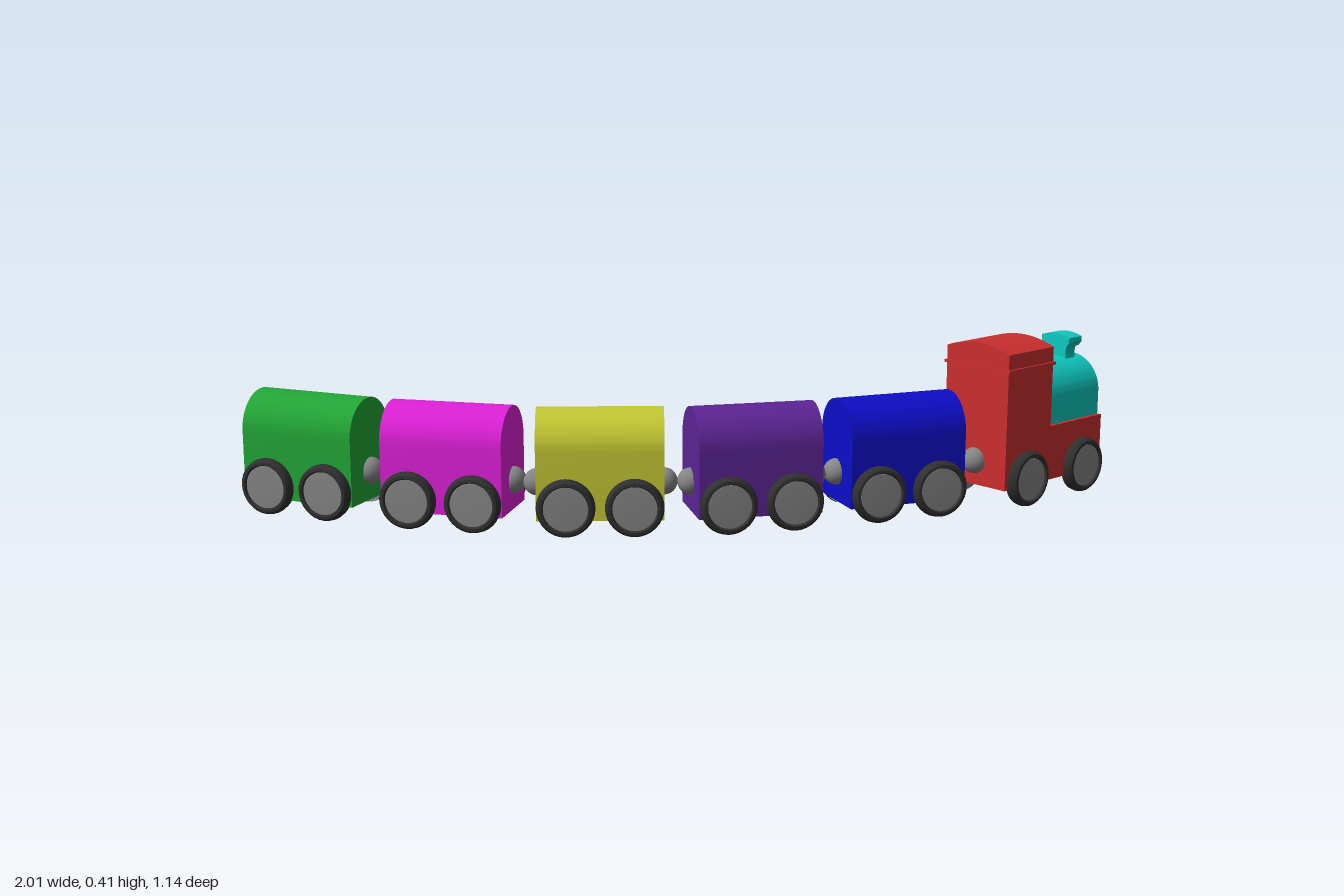
import * as THREE from 'three';
import { toCreasedNormals } from 'three/addons/utils/BufferGeometryUtils.js';

function paint(name, color) {
  const m = new THREE.MeshStandardMaterial({ color });
  m.name = name;
  return m;
}

function add(parent, name, geometry, material, x = 0, y = 0, z = 0) {
  const mesh = new THREE.Mesh(geometry, material);
  mesh.name = name;
  mesh.position.set(x, y, z);
  parent.add(mesh);
  return mesh;
}

// Extrudes a cross-section along x, centred on x = 0
function extrudeAlong(shape, length) {
  const g = new THREE.ExtrudeGeometry(shape, { depth: length, bevelEnabled: false, curveSegments: 20 });
  g.translate(0, 0, -length / 2);
  g.rotateY(Math.PI / 2);
  return toCreasedNormals(g, 0.6);
}

// Upright sides under a half-round top
function archShape(width, bottom, top) {
  const r = width / 2;
  const s = new THREE.Shape();
  s.moveTo(-r, bottom);
  s.lineTo(r, bottom);
  s.lineTo(r, top - r);
  s.absarc(0, top - r, r, 0, Math.PI, false);
  s.closePath();
  return s;
}

function lathe(points) {
  const g = new THREE.LatheGeometry(points.map(([r, y]) => new THREE.Vector2(r, y)), 32);
  return toCreasedNormals(g, 0.7);
}

export function createModel() {
  const train = new THREE.Group();
  train.name = 'toyTrain';

  const red = paint('red', 0xcb2e2e);
  const cyan = paint('cyan', 0x10c8c0);
  const grey = paint('grey', 0x858585);
  const black = paint('tyreBlack', 0x303030);

  // Shared wheel and coupling geometry
  const tyreGeo = lathe([[0.069, -0.004], [0.071, 0.008], [0.069, 0.018], [0.064, 0.024], [0.057, 0.025], [0.053, 0.017]]);
  const hubGeo = lathe([[0, -0.006], [0.068, -0.006], [0.068, 0.002], [0.0535, 0.005], [0.0535, 0.02], [0, 0.022]]);
  const ballGeo = new THREE.SphereGeometry(0.033, 24, 16);

  function addRunningGear(car, axle, side, end) {
    for (const sx of [-1, 1]) {
      for (const sz of [-1, 1]) {
        const wheel = new THREE.Group();
        wheel.name = 'wheel';
        wheel.position.set(sx * axle, 0.071, sz * side);
        wheel.rotation.x = sz * Math.PI / 2;
        add(wheel, 'tyre', tyreGeo, black);
        add(wheel, 'hub', hubGeo, grey);
        car.add(wheel);
      }
      add(car, 'couplingBall', ballGeo, grey, sx * end, 0.112, 0);
    }
  }

  // Wagons: name, colour, x, z, heading in degrees
  const wagons = [
    ['blue', 0x0d0dc8, 0.372, 0.393, 12],
    ['purple', 0x5c2494, 0.013, 0.3, 19],
    ['yellow', 0xc4c832, -0.318, 0.138, 30.5],
    ['magenta', 0xdc20d6, -0.598, -0.097, 45],
    ['green', 0x22a636, -0.836, -0.382, 54],
  ];
  const wagonGeo = extrudeAlong(archShape(0.18, 0.038, 0.295), 0.306);
  for (const [name, color, x, z, heading] of wagons) {
    const wagon = new THREE.Group();
    wagon.name = name + 'Wagon';
    wagon.position.set(x, 0, z);
    wagon.rotation.y = -heading * Math.PI / 180;
    add(wagon, 'wagonBody', wagonGeo, paint(name, color));
    addRunningGear(wagon, 0.082, 0.089, 0.153);
    train.add(wagon);
  }

  // Engine
  const engine = new THREE.Group();
  engine.name = 'engine';
  engine.position.set(0.774, 0, 0.42);
  engine.rotation.y = 9.8 * Math.PI / 180;
  train.add(engine);
  add(engine, 'chassis', new THREE.BoxGeometry(0.384, 0.14, 0.198), red, 0, 0.12, 0);

  // Cab with a gently curved roof and a thin rim below it
  const cab = new THREE.Shape();
  cab.moveTo(-0.099, 0.15);
  cab.lineTo(0.099, 0.15);
  cab.lineTo(0.099, 0.394);
  cab.quadraticCurveTo(0, 0.433, -0.099, 0.394);
  cab.closePath();
  add(engine, 'cab', extrudeAlong(cab, 0.174), red, -0.105, 0, 0);
  add(engine, 'roofRim', new THREE.BoxGeometry(0.182, 0.007, 0.21), red, -0.105, 0.353, 0);

  // Boiler
  add(engine, 'boiler', extrudeAlong(archShape(0.177, 0.188, 0.34), 0.208), cyan, 0.086, 0, 0);

  // Chimney: waisted stack and a wider, slightly domed cap
  const stack = new THREE.Shape();
  stack.moveTo(-0.036, 0.315);
  stack.lineTo(0.036, 0.315);
  stack.quadraticCurveTo(0.02, 0.352, 0.036, 0.372);
  stack.lineTo(-0.036, 0.372);
  stack.quadraticCurveTo(-0.02, 0.352, -0.036, 0.315);
  add(engine, 'chimneyStack', extrudeAlong(stack, 0.038), cyan, 0.143, 0, 0);
  const cap = new THREE.Shape();
  cap.moveTo(-0.034, 0.366);
  cap.lineTo(0.034, 0.366);
  cap.lineTo(0.044, 0.378);
  cap.lineTo(0.044, 0.391);
  cap.quadraticCurveTo(0, 0.407, -0.044, 0.391);
  cap.lineTo(-0.044, 0.378);
  cap.closePath();
  add(engine, 'chimneyCap', extrudeAlong(cap, 0.052), cyan, 0.143, 0, 0);

  addRunningGear(engine, 0.111, 0.098, 0.192);
  return train;
}
